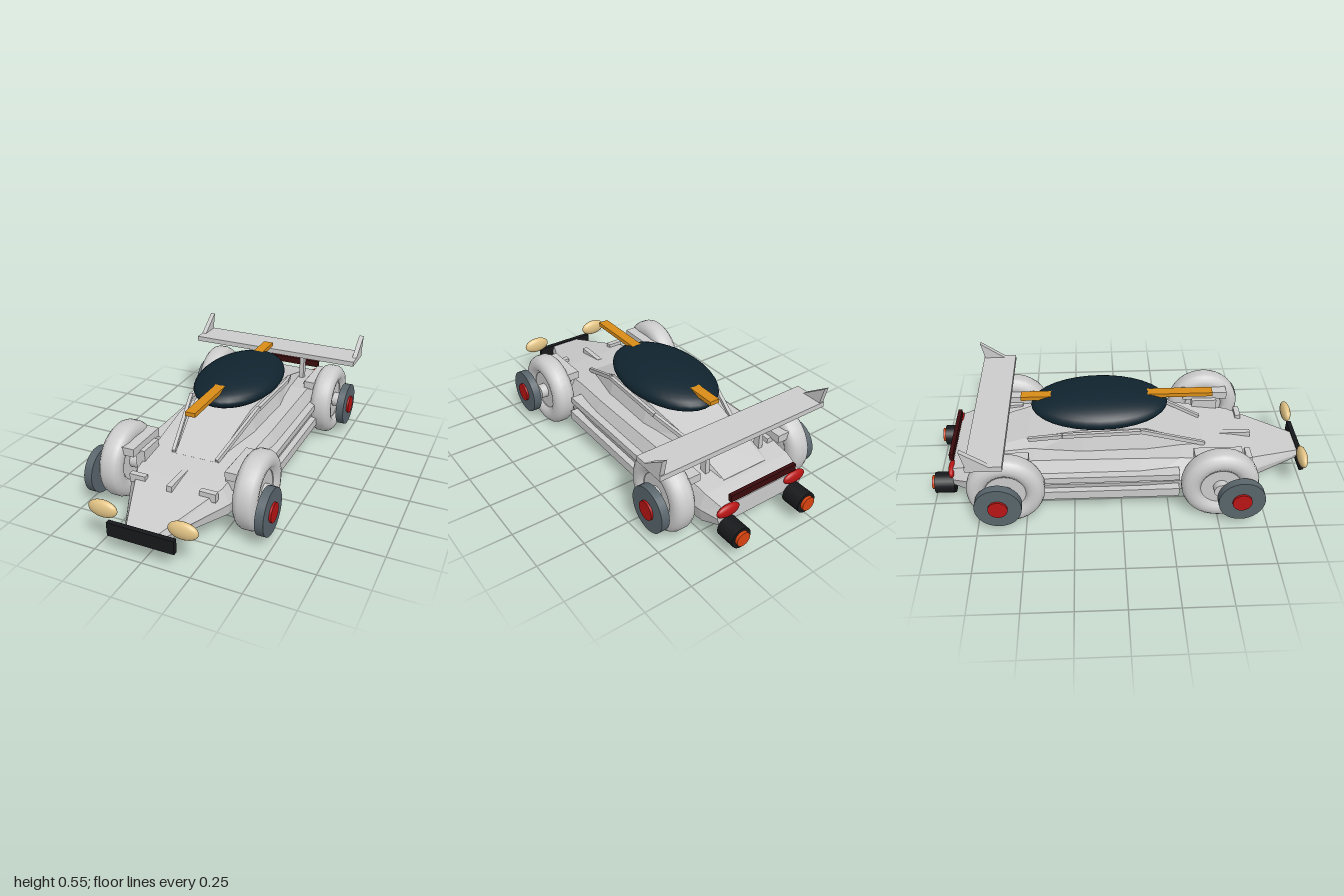
import * as THREE from 'three';

const mat = (color, flat = false, side = THREE.FrontSide) =>
  new THREE.MeshStandardMaterial({ color, flatShading: flat, side });
const GREY = mat(0xcccccc, true), SMOOTH = mat(0xcccccc);
const BLACK = mat(0x17181b), SLATE = mat(0x59656c), RED = mat(0xb81414);
const DARKRED = mat(0x3a0b0d), ORANGE = mat(0xd88c18), FLAME = mat(0xd8430f);
const GLASS = mat(0x10242f), LAMP = mat(0xe3c486);

// Skin over rings of [x, y] points, each ring counter-clockwise seen from +z
function loft(rings) {
  const pos = [], n = rings[0].length;
  const tri = (...p) => p.forEach(v => pos.push(...v));
  for (let i = 0; i < rings.length - 1; i++) {
    for (let j = 0; j < n; j++) {
      const k = (j + 1) % n, A = rings[i], B = rings[i + 1];
      tri(A[j], B[j], B[k]);
      tri(A[j], B[k], A[k]);
    }
  }
  const F = rings[0], L = rings[rings.length - 1];
  for (let j = 1; j < n - 1; j++) {
    tri(F[0], F[j], F[j + 1]);
    tri(L[0], L[j + 1], L[j]);
  }
  const g = new THREE.BufferGeometry();
  g.setAttribute('position', new THREE.Float32BufferAttribute(pos, 3));
  g.computeVertexNormals();
  return g;
}

export function createModel() {
  const car = new THREE.Group();
  car.name = 'raceCar';

  const add = (name, geo, material, x = 0, y = 0, z = 0, parent = car) => {
    const m = new THREE.Mesh(geo, material);
    m.name = name;
    m.position.set(x, y, z);
    parent.add(m);
    return m;
  };
  // Box from its limits on each axis
  const box = (name, x0, x1, y0, y1, z0, z1, material = GREY) =>
    add(name, new THREE.BoxGeometry(Math.abs(x1 - x0), y1 - y0, Math.abs(z1 - z0)), material,
      (x0 + x1) / 2, (y0 + y1) / 2, (z0 + z1) / 2);
  const ellipsoid = (name, rx, ry, rz, material, x, y, z) =>
    add(name, new THREE.SphereGeometry(1, 32, 20).scale(rx, ry, rz), material, x, y, z);
  const disc = (r, w, seg = 32) => new THREE.CylinderGeometry(r, r, w, seg).rotateZ(Math.PI / 2);
  // Square bar between two points
  const bar = (name, a, b, w, h) => {
    const p = new THREE.Vector3(...a), q = new THREE.Vector3(...b);
    const m = add(name, new THREE.BoxGeometry(w, h, p.distanceTo(q)), GREY);
    m.position.copy(p).lerp(q, 0.5);
    m.lookAt(q);
  };

  // Hull: z, bottom / middle / top heights, then the matching half widths
  const hull = [
    [0.98, 0.115, 0.14, 0.165, 0.08, 0.09, 0.08],
    [0.62, 0.1, 0.16, 0.235, 0.26, 0.27, 0.23],
    [0.32, 0.09, 0.17, 0.275, 0.29, 0.31, 0.25],
    [0.1, 0.09, 0.18, 0.295, 0.3, 0.325, 0.27],
    [-0.45, 0.09, 0.18, 0.3, 0.3, 0.325, 0.27],
    [-0.78, 0.1, 0.18, 0.26, 0.27, 0.29, 0.26],
    [-0.88, 0.135, 0.18, 0.235, 0.25, 0.265, 0.24],
  ].map(([z, b, m, t, wb, wm, wt]) => [
    [wb, b, z], [wm, m, z], [wt, t, z], [-wt, t, z], [-wm, m, z], [-wb, b, z],
  ]);
  add('hull', loft(hull), GREY);

  // Cabin: z, base and roof heights, base and roof half widths
  const cabin = [
    [0.45, 0.23, 0.258, 0.12, 0.11],
    [0.13, 0.26, 0.405, 0.2, 0.16],
    [-0.2, 0.27, 0.41, 0.21, 0.17],
    [-0.48, 0.27, 0.35, 0.18, 0.14],
    [-0.76, 0.24, 0.265, 0.17, 0.13],
  ].map(([z, b, t, wb, wt]) => [[wb, b, z], [wt, t, z], [-wt, t, z], [-wb, b, z]]);
  add('cabin', loft(cabin), GREY);

  // Canopy and roof stripe
  ellipsoid('canopy', 0.22, 0.084, 0.36, GLASS, 0, 0.468, -0.105);
  box('roofStripe', -0.027, 0.027, 0.505, 0.527, -0.515, 0.49, ORANGE);

  // Nose details
  box('noseFin', -0.014, 0.014, 0.2, 0.246, 0.55, 0.72);
  box('frontBumper', -0.173, 0.173, 0.1, 0.172, 0.975, 1, BLACK);

  // Tyre profile, closed loop of radius and width
  const half = [[0.105, 0.04], [0.125, 0.056], [0.15, 0.061], [0.175, 0.055], [0.192, 0.04], [0.2, 0.02]];
  const loop = [...half.map(([r, w]) => [r, -w]), ...[...half].reverse(), [0.105, -0.04]];
  const tyre = new THREE.LatheGeometry(loop.map(p => new THREE.Vector2(...p)), 32).rotateZ(Math.PI / 2);

  // Wing end plate outline in (z, y)
  const plateShape = new THREE.Shape([[-0.63, 0.45], [-0.775, 0.552], [-0.75, 0.44]]
    .map(([z, y]) => new THREE.Vector2(-z, y)));
  const plate = new THREE.ExtrudeGeometry(plateShape, { depth: 0.026, bevelEnabled: false })
    .rotateY(Math.PI / 2).translate(-0.013, 0, 0);

  for (const s of [1, -1]) {
    const side = s > 0 ? 'left' : 'right';

    // Wheels with the offset outer disc and red cap
    for (const [end, zTyre, zDisc] of [['Front', 0.505, 0.605], ['Rear', -0.595, -0.63]]) {
      const wheel = new THREE.Group();
      wheel.name = side + end + 'Wheel';
      car.add(wheel);
      add('tyre', tyre, SMOOTH, s * 0.361, 0.2, zTyre, wheel);
      add('rim', disc(0.107, 0.07), SMOOTH, s * 0.361, 0.2, zTyre, wheel);
      add('axle', disc(0.04, 0.2, 16), SMOOTH, s * 0.335, 0.2, zTyre, wheel);
      add('outerDisc', disc(0.12, 0.043), SLATE, s * 0.4575, 0.165, zDisc, wheel);
      add('discCap', disc(0.05, 0.012), RED, s * 0.484, 0.165, zDisc, wheel);
      box(side + end + 'WheelGuard', s * 0.245, s * 0.312, 0.292, 0.335, zTyre - 0.13, zTyre + 0.12);
      box(side + end + 'GuardBracket', s * 0.22, s * 0.27, 0.2, 0.3, zTyre - 0.08, zTyre + 0.06);
    }

    // Side pods: low skirt and upper rail
    box(side + 'Skirt', s * 0.27, s * 0.35, 0.1, 0.15, -0.45, 0.3);
    box(side + 'Rail', s * 0.25, s * 0.34, 0.2, 0.235, -0.45, 0.3);

    // Windscreen struts and rear cabin braces
    bar(side + 'WindscreenStrut', [s * 0.12, 0.265, 0.45], [s * 0.195, 0.415, 0.1], 0.018, 0.022);
    bar(side + 'CabinSideRail', [s * 0.195, 0.41, 0.1], [s * 0.2, 0.4, -0.3], 0.018, 0.022);
    bar(side + 'CabinBrace', [s * 0.2, 0.4, -0.3], [s * 0.15, 0.345, -0.48], 0.018, 0.022);

    // Nose tab and lights
    box(side + 'NoseTab', s * 0.145, s * 0.23, 0.2, 0.245, 0.665, 0.695);
    ellipsoid(side + 'Headlight', 0.076, 0.045, 0.026, LAMP, s * 0.205, 0.22, 0.968);
    ellipsoid(side + 'TailLight', 0.066, 0.034, 0.02, RED, s * 0.207, 0.21, -0.885);

    // Exhaust with glowing core
    add(side + 'Exhaust', new THREE.CylinderGeometry(0.056, 0.056, 0.105, 24).rotateX(Math.PI / 2),
      BLACK, s * 0.205, 0.113, -0.932);
    add(side + 'ExhaustGlow', new THREE.CylinderGeometry(0.038, 0.038, 0.03, 24).rotateX(Math.PI / 2),
      FLAME, s * 0.205, 0.116, -0.985);

    // Wing pillar and end plate
    box(side + 'WingPillar', s * 0.155, s * 0.18, 0.24, 0.44, -0.682, -0.645);
    add(side + 'WingEndPlate', plate, GREY, s * 0.487, 0, 0);
  }

  // Rear wing and tail light bar
  box('rearWing', -0.5, 0.5, 0.432, 0.46, -0.76, -0.58);
  box('tailBar', -0.2, 0.2, 0.258, 0.295, -0.895, -0.874, DARKRED);

  return car;
}
